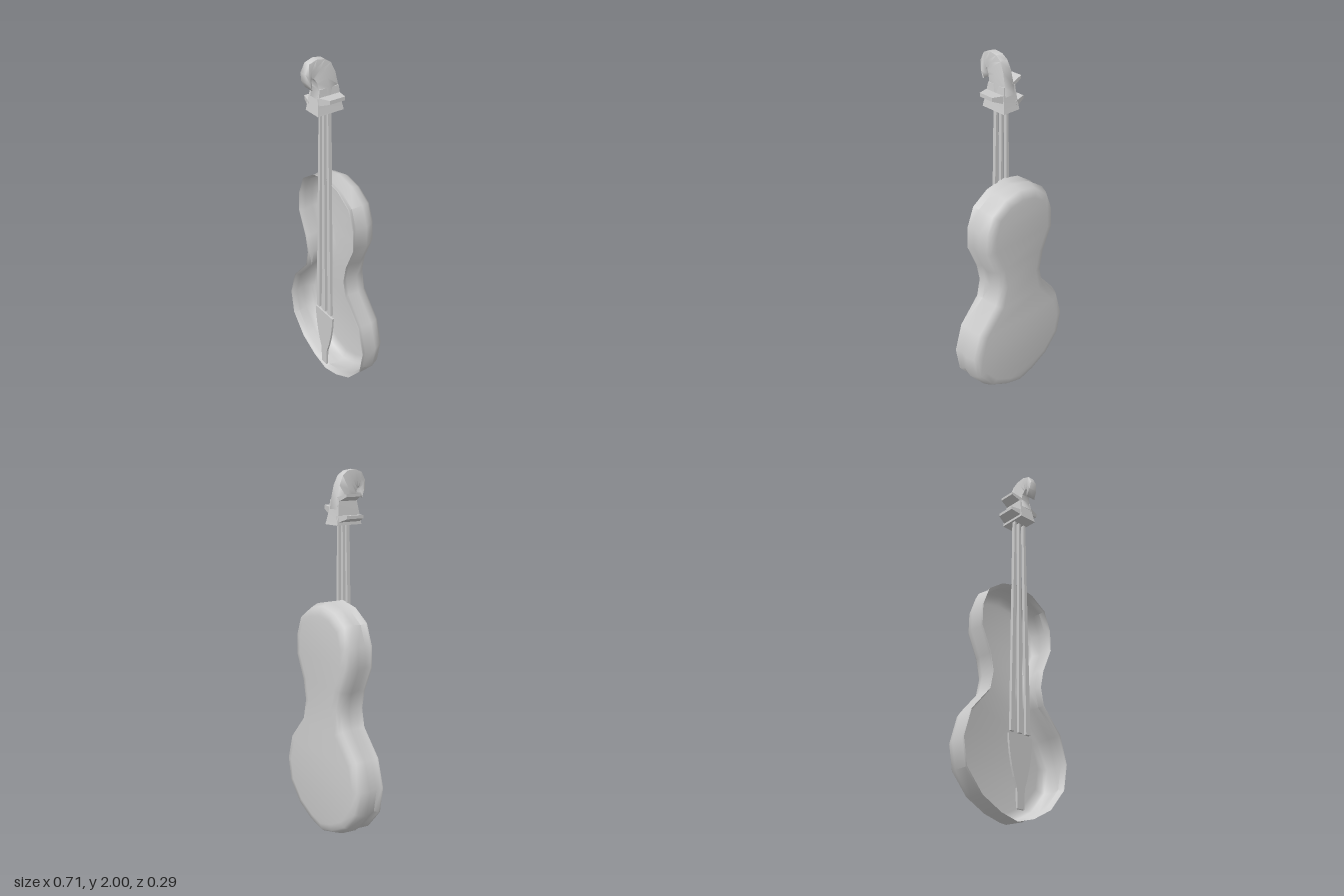
import * as THREE from 'three';
import { toCreasedNormals } from 'three/addons/utils/BufferGeometryUtils.js';

const material = new THREE.MeshStandardMaterial({ color: 0xcccccc });
const shellMaterial = new THREE.MeshStandardMaterial({ color: 0xcccccc, side: THREE.DoubleSide });

// Skins a list of rings (first ring counter-clockwise seen from its open end).
// The last end is always capped, the first one unless it is left open.
function loft(rings, crease, open = false) {
  const n = rings[0].length, last = (rings.length - 1) * n, index = [];
  const tri = (a, b, c) => { if (a !== b && b !== c && a !== c) index.push(a, b, c); };
  for (let r = 0; r < rings.length - 1; r++) {
    for (let j = 0; j < n; j++) {
      const a = r * n + j, d = r * n + (j + 1) % n;
      tri(a, a + n, d + n);
      tri(a, d + n, d);
    }
  }
  // caps are strips between the two mirrored halves of the ring
  for (let i = 0; i < n / 2; i++) {
    const a = i, b = i + 1, c = n - 1 - i, d = (n - i) % n;
    if (!open) {
      tri(a, b, c);
      tri(a, c, d);
    }
    tri(last + c, last + b, last + a);
    tri(last + d, last + c, last + a);
  }
  const g = new THREE.BufferGeometry();
  g.setAttribute('position', new THREE.Float32BufferAttribute(rings.flat(2), 3));
  g.setIndex(index);
  return toCreasedNormals(g, crease);
}

// Rectangles across the y axis and across the x axis
const rectY = (y, x0, x1, z0, z1) => [[x0, y, z1], [x1, y, z1], [x1, y, z0], [x0, y, z0]];
const rectX = (x, y0, y1, z0, z1) => [[x, y0, z1], [x, y0, z0], [x, y1, z0], [x, y1, z1]];

export function createModel() {
  const model = new THREE.Group();
  model.name = 'stringInstrument';
  const add = (name, geometry, parent = model, mat = material) => {
    const mesh = new THREE.Mesh(geometry, mat);
    mesh.name = name;
    parent.add(mesh);
    return mesh;
  };

  // Body: a shell open to the front; half outline, mirrored, swept through inset / depth steps
  const half = [[0, 0.005], [0.11, 0.035], [0.23, 0.1], [0.33, 0.22], [0.355, 0.365], [0.31, 0.52],
    [0.19, 0.66], [0.17, 0.76], [0.19, 0.86], [0.25, 1.0], [0.247, 1.12], [0.205, 1.23],
    [0.11, 1.295], [0, 1.32]];
  const outline = [...half, ...half.slice(1, -1).reverse().map(([x, y]) => [-x, y])];
  const ring = (inset, z) => outline.map(([x, y], i) => {
    const n = outline.length, p = outline[(i + n - 1) % n], q = outline[(i + 1) % n];
    const dx = q[0] - p[0], dy = q[1] - p[1], l = Math.hypot(dx, dy);
    return [x - dy / l * inset, y + dx / l * inset, z];
  });
  add('body', loft([ring(0, 0.014), ring(0.001, 0.005), ring(0.015, -0.017), ring(-0.001, -0.075),
    ring(0.017, -0.12), ring(0.03, -0.137), ring(0.065, -0.144)], 0.95, true), model, shellMaterial);

  // Strings, wider towards the tailpiece
  const strings = new THREE.Group();
  strings.name = 'strings';
  model.add(strings);
  [[-0.035, -0.022, -0.062, -0.036], [-0.004, 0.01, -0.007, 0.02], [0.032, 0.046, 0.044, 0.074]]
    .forEach(([a, b, c, d]) => add('string',
      loft([rectY(1.74, a, b, 0.007, 0.028), rectY(0.46, c, d, 0.014, 0.03)], 0.5), strings));

  // Tailpiece
  const tail = new THREE.Shape();
  tail.moveTo(-0.016, 0.065);
  tail.lineTo(0.03, 0.065);
  tail.lineTo(0.034, 0.17);
  tail.quadraticCurveTo(0.082, 0.3, 0.088, 0.445);
  tail.lineTo(-0.075, 0.445);
  tail.quadraticCurveTo(-0.07, 0.3, -0.018, 0.17);
  const tailpiece = add('tailpiece',
    new THREE.ExtrudeGeometry(tail, { depth: 0.012, bevelEnabled: false, curveSegments: 5 }));
  tailpiece.position.z = 0.016;

  // Head: peg box, pegs and curled scroll
  const head = new THREE.Group();
  head.name = 'head';
  model.add(head);
  add('pegBox', loft([rectY(1.85, -0.035, 0.04, -0.04, 0.073), rectY(1.78, -0.042, 0.046, -0.048, 0.086),
    rectY(1.72, -0.047, 0.057, -0.06, 0.097)], 0.6), head);
  add('rightUpperPeg', loft([rectX(-0.02, 1.835, 1.862, -0.04, 0.073),
    rectX(-0.086, 1.865, 1.88, -0.03, 0.06)], 0.6), head);
  add('rightLowerPeg', loft([rectX(-0.03, 1.73, 1.768, -0.055, 0.09),
    rectX(-0.098, 1.755, 1.772, -0.035, 0.07)], 0.6), head);
  add('leftPeg', loft([rectX(0.107, 1.795, 1.815, -0.03, 0.06),
    rectX(0.035, 1.765, 1.81, -0.045, 0.085)], 0.6), head);

  // Scroll: six-sided sections from base to tip: outer z, y, inner z, y, half width
  const sections = [
    [-0.046, 1.8, 0.083, 1.8, 0.041], [-0.041, 1.85, 0.073, 1.85, 0.039],
    [-0.026, 1.92, 0.08, 1.882, 0.035], [-0.003, 1.97, 0.09, 1.9, 0.03],
    [0.03, 1.993, 0.095, 1.906, 0.027], [0.078, 2, 0.1, 1.91, 0.025],
    [0.122, 1.985, 0.105, 1.909, 0.024], [0.144, 1.942, 0.109, 1.9, 0.026],
    [0.139, 1.895, 0.111, 1.885, 0.034], [0.115, 1.855, 0.112, 1.856, 0.034]];
  const scroll = loft(sections.map(([oz, oy, iz, iy, w]) => {
    const my = (oy + iy) / 2, mz = (oz + iz) / 2, c = 0.004, e = w * 0.75;
    return [[c - e, oy, oz], [c + e, oy, oz], [c + w, my, mz],
      [c + e, iy, iz], [c - e, iy, iz], [c - w, my, mz]];
  }), 1.4);
  add('scroll', scroll, head);

  return model;
}
